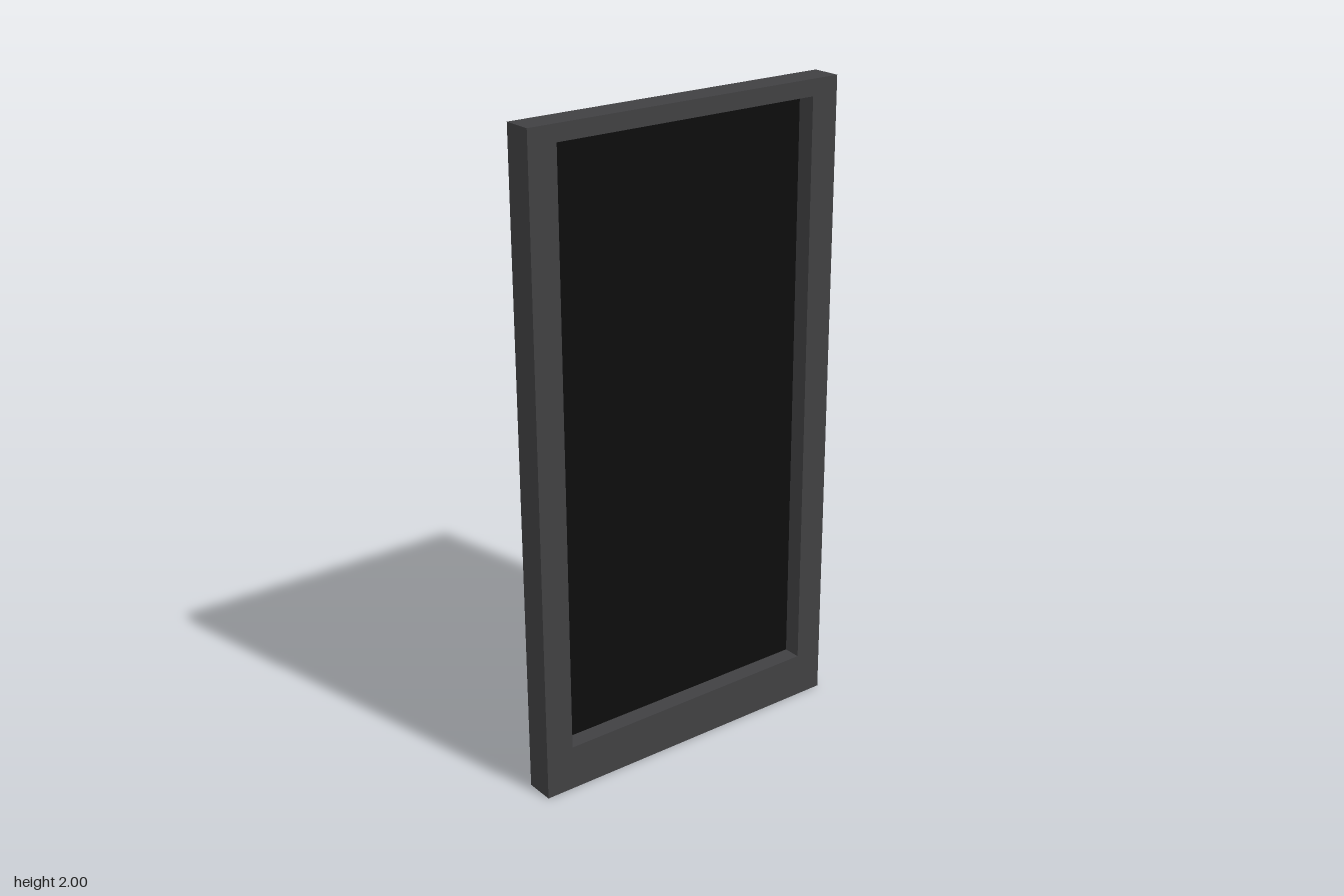
import * as THREE from 'three';

const DEPTH = 0.092, HALF = 0.53, HEIGHT = 2;
const OPEN = { half: 0.44, bottom: 0.14, top: 1.95 };

// Rectangle from (-half, bottom) to (half, top), as a closed path
function rect(path, half, bottom, top) {
  path.moveTo(-half, bottom);
  path.lineTo(half, bottom);
  path.lineTo(half, top);
  path.lineTo(-half, top);
  path.closePath();
  return path;
}

export function createModel() {
  const model = new THREE.Group();
  model.name = 'framedPanel';

  // Surround with a deeper bottom rail, extruded across the thickness
  const outline = rect(new THREE.Shape(), HALF, 0, HEIGHT);
  outline.holes.push(rect(new THREE.Path(), OPEN.half, OPEN.bottom, OPEN.top));
  const frameGeometry = new THREE.ExtrudeGeometry(outline, { depth: DEPTH, bevelEnabled: false });
  frameGeometry.translate(0, 0, -DEPTH / 2);
  frameGeometry.rotateY(Math.PI / 2);
  const frame = new THREE.Mesh(frameGeometry, new THREE.MeshStandardMaterial({ color: 0x404042 }));
  frame.name = 'frame';
  model.add(frame);

  // Thin dark pane, recessed deeper on the +x side
  const pane = new THREE.Mesh(
    new THREE.BoxGeometry(0.005, OPEN.top - OPEN.bottom, OPEN.half * 2),
    new THREE.MeshStandardMaterial({ color: 0x0d0d0d })
  );
  pane.name = 'pane';
  pane.position.set(-0.013, (OPEN.top + OPEN.bottom) / 2, 0);
  model.add(pane);

  return model;
}
